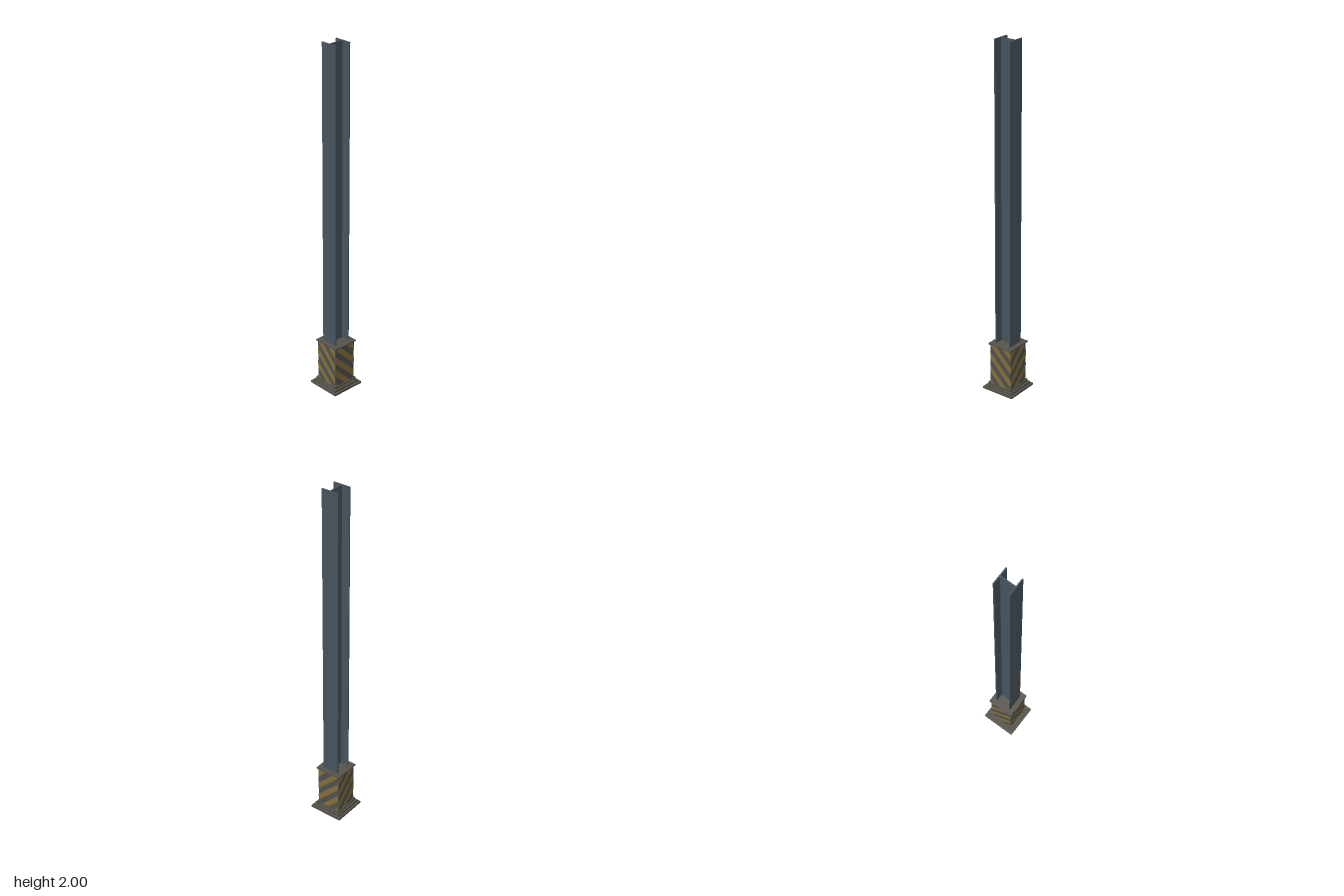
import * as THREE from 'three';

const mat = (name, color) => {
  const m = new THREE.MeshStandardMaterial({ color });
  m.name = name;
  return m;
};

export function createModel() {
  const steel = mat('blue grey steel', 0x48545e);
  const plate = mat('brown grey metal', 0x55534a);
  const dark = mat('stripe grey', 0x50514f);
  const yellow = mat('stripe yellow', 0x85703a);
  const model = new THREE.Group();
  model.name = 'steelColumn';

  const add = (name, geometry, material, x = 0, y = 0, z = 0, parent = model) => {
    const mesh = new THREE.Mesh(geometry, material);
    mesh.name = name;
    mesh.position.set(x, y, z);
    parent.add(mesh);
    return mesh;
  };
  // Box given by its bottom and top heights
  const slab = (name, w, d, y0, y1, material, z = 0) =>
    add(name, new THREE.BoxGeometry(w, y1 - y0, d), material, 0, (y0 + y1) / 2, z);

  // H-section beam as one extruded outline
  const b = 0.05, t = 0.007, w = 0.003;
  const outline = new THREE.Shape([
    [-b, -b], [b, -b], [b, -b + t], [w, -b + t], [w, b - t], [b, b - t],
    [b, b], [-b, b], [-b, b - t], [-w, b - t], [-w, -b + t], [-b, -b + t],
  ].map(([x, y]) => new THREE.Vector2(x, y)));
  const beam = new THREE.ExtrudeGeometry(outline, { depth: 1.72, bevelEnabled: false });
  beam.rotateX(-Math.PI / 2);
  add('beam', beam, steel, 0, 0.28, 0);

  // Stepped foot, protective sleeve and its cap
  slab('basePlate', 0.2, 0.2, 0, 0.012, plate);
  slab('upperBasePlate', 0.176, 0.176, 0.012, 0.024, plate);
  slab('sleeveFooting', 0.154, 0.154, 0.024, 0.034, plate);
  slab('sleeve', 0.14, 0.14, 0.034, 0.276, dark);
  slab('cap', 0.156, 0.156, 0.276, 0.283, plate);

  // Anchor bolts
  for (const x of [-0.071, 0.071]) for (const z of [-0.071, 0.071])
    add('bolt', new THREE.CylinderGeometry(0.009, 0.009, 0.016, 8), plate, x, 0.032, z);

  // Diagonal warning stripes, clipped to the rectangle of a sleeve face
  const half = 0.07, bottom = 0.034, top = 0.276;
  const clip = (points, inside) => points.flatMap((p, i) => {
    const q = points[(i + 1) % points.length];
    const a = inside(p), c = inside(q);
    const out = a >= 0 ? [p] : [];
    if (a * c < 0) out.push(p.clone().lerp(q, a / (a - c)));
    return out;
  });
  const stripeShapes = (slope) => {
    const shapes = [];
    for (let c = -0.05; c < 0.4; c += 0.084) {
      let pts = [[-half, bottom], [half, bottom], [half, top], [-half, top]]
        .map(([x, y]) => new THREE.Vector2(x, y));
      pts = clip(pts, (p) => p.y - slope * p.x - c);
      pts = clip(pts, (p) => c + 0.042 - p.y + slope * p.x);
      if (pts.length > 2) shapes.push(new THREE.Shape(pts));
    }
    return shapes;
  };
  // Front, left, back and right faces
  [-1, -1, 1, 1].forEach((slope, i) => {
    const side = new THREE.Group();
    side.name = 'stripedSide';
    side.rotation.y = i * Math.PI / 2;
    model.add(side);
    add('stripes', new THREE.ShapeGeometry(stripeShapes(slope)), yellow, 0, 0, half + 0.001, side);
  });
  return model;
}
